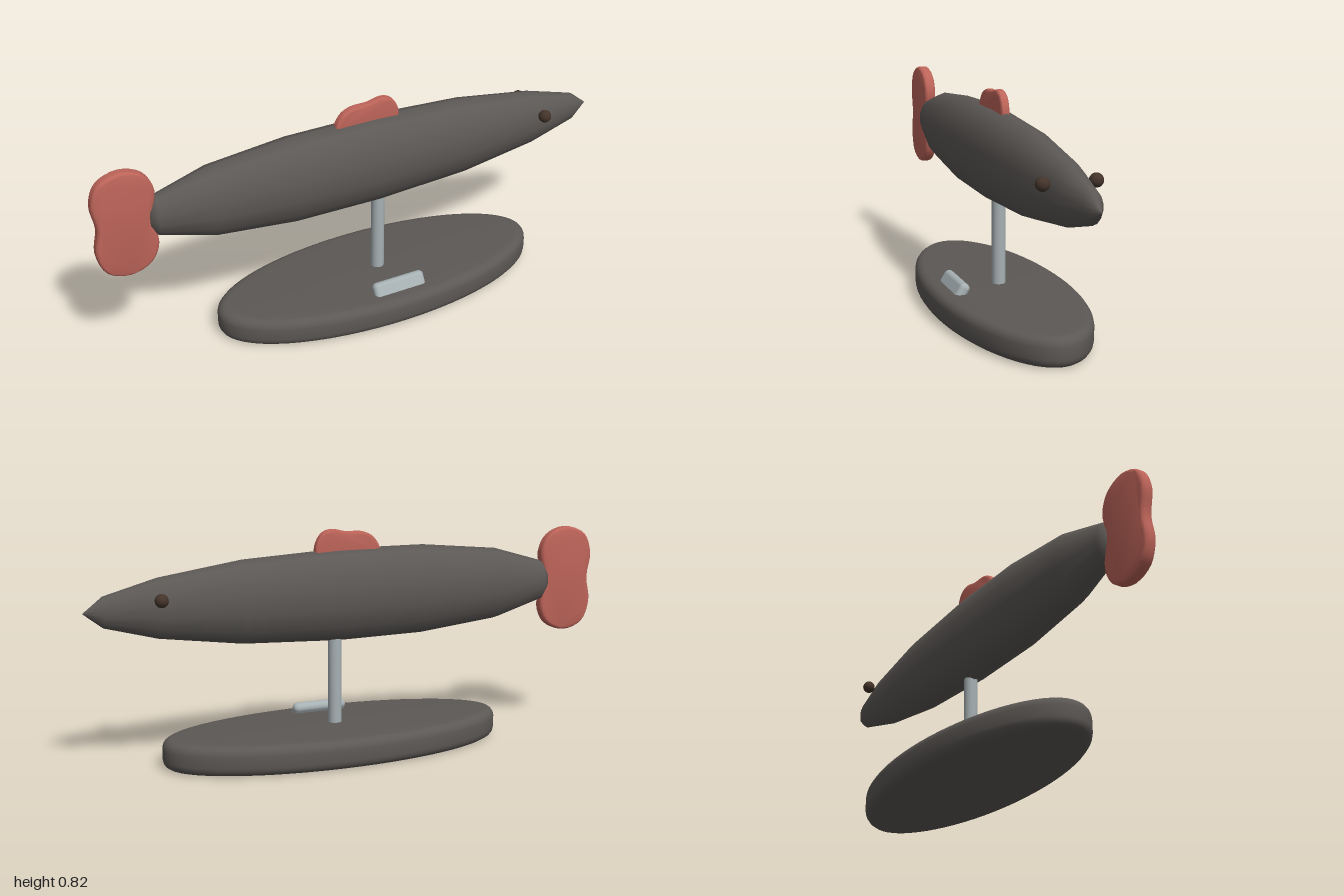
import * as THREE from 'three';
import { toCreasedNormals } from 'three/addons/utils/BufferGeometryUtils.js';
import { RoundedBoxGeometry } from 'three/addons/geometries/RoundedBoxGeometry.js';

const material = (color) => new THREE.MeshStandardMaterial({ color });
const dark = material(0x5c5855);
const red = material(0xbd6459);
const metal = material(0xa6b0b3);
const brown = material(0x44342b);

// Slab with rounded rims, its full outline and thickness kept to size
function slab(points, thickness, rim) {
  const geometry = new THREE.ExtrudeGeometry(new THREE.Shape(points), {
    depth: thickness - 2 * rim,
    bevelThickness: rim,
    bevelSize: rim,
    bevelOffset: -rim,
    bevelSegments: 4,
  });
  geometry.translate(0, 0, rim - thickness / 2);
  return toCreasedNormals(geometry, 0.6);
}

// Smooth outline through a few points, without repeating the first one
function outline(coords, closed, divisions) {
  const curve = new THREE.CatmullRomCurve3(coords.map(([x, y]) => new THREE.Vector3(x, y, 0)), closed);
  const points = curve.getPoints(divisions).map((p) => new THREE.Vector2(p.x, p.y));
  if (closed) points.pop();
  return points;
}

export function createModel() {
  const group = new THREE.Group();
  const add = (name, geometry, mat, x = 0, y = 0, z = 0) => {
    const mesh = new THREE.Mesh(geometry, mat);
    mesh.name = name;
    mesh.position.set(x, y, z);
    group.add(mesh);
    return mesh;
  };

  // Oval base
  const oval = new THREE.EllipseCurve(0, 0, 0.652, 0.258).getPoints(64);
  oval.pop();
  const baseGeometry = slab(oval, 0.108, 0.033);
  baseGeometry.rotateX(-Math.PI / 2);
  add('base', baseGeometry, dark, 0.075, 0.054, 0);

  // Post
  add('post', new THREE.CylinderGeometry(0.025, 0.025, 0.38, 24), metal, 0.075, 0.28, 0);

  // Tilted plate on the front of the base
  const plate = add('plate', new RoundedBoxGeometry(0.21, 0.1, 0.04, 4, 0.018), metal, 0.075, 0.1, 0.178);
  plate.rotation.x = -0.55;

  // Spindle body: half height along the length, narrowed sideways
  const profile = [
    [0, -0.81], [0.042, -0.805], [0.076, -0.78], [0.135, -0.58], [0.166, -0.275], [0.169, 0.06],
    [0.151, 0.425], [0.107, 0.73], [0.055, 0.92], [0, 0.99],
  ].map(([r, x]) => new THREE.Vector2(r, x));
  const body = new THREE.LatheGeometry(profile, 14, Math.PI / 2);
  body.rotateZ(-Math.PI / 2);
  body.scale(1, 1, 0.64);
  add('body', body, dark, 0, 0.583, 0);

  // Eyes
  for (const side of [1, -1]) {
    add(side > 0 ? 'frontEye' : 'backEye', new THREE.SphereGeometry(0.024, 16, 12), brown, 0.738, 0.625, side * 0.091);
  }

  // Two-lobed tail fin
  const tail = outline([
    [-0.89, 0.785], [-0.97, 0.755], [-1, 0.68], [-0.987, 0.583], [-1, 0.49], [-0.97, 0.41],
    [-0.89, 0.38], [-0.81, 0.41], [-0.778, 0.48], [-0.795, 0.583], [-0.778, 0.69], [-0.81, 0.755],
  ], true, 48);
  add('tailFin', slab(tail, 0.046, 0.014), red);

  // Dorsal fin, its foot sunk into the body
  const dorsal = outline([
    [-0.1, 0.71], [-0.1, 0.75], [-0.075, 0.79], [-0.035, 0.81], [0.03, 0.813],
    [0.085, 0.824], [0.125, 0.81], [0.15, 0.765], [0.15, 0.71],
  ], false, 32).reverse();
  add('dorsalFin', slab(dorsal, 0.032, 0.01), red);

  return group;
}
